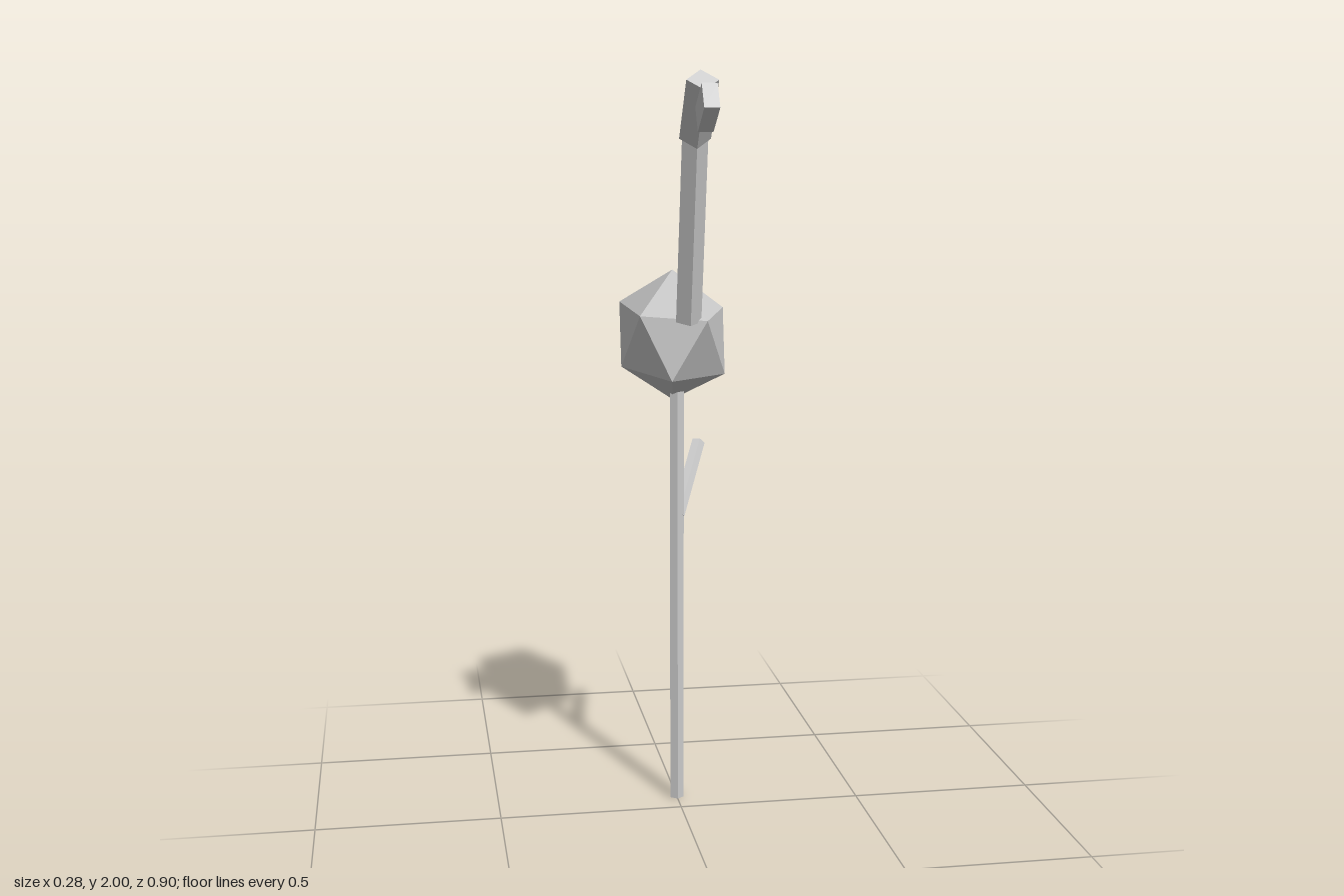
import * as THREE from 'three';
import { ConvexGeometry } from 'three/addons/geometries/ConvexGeometry.js';

export function createModel() {
  const group = new THREE.Group();
  const paleGrey = new THREE.MeshStandardMaterial({ color: 0xcccccc });
  paleGrey.flatShading = true;

  function add(name, geometry) {
    const mesh = new THREE.Mesh(geometry, paleGrey);
    mesh.name = name;
    group.add(mesh);
    return mesh;
  }

  // Straight faceted rod between two points
  function rod(name, from, to, radius, sides) {
    const a = new THREE.Vector3(...from);
    const b = new THREE.Vector3(...to);
    const mesh = add(name, new THREE.CylinderGeometry(radius, radius, a.distanceTo(b), sides));
    mesh.position.copy(a).add(b).multiplyScalar(0.5);
    mesh.quaternion.setFromUnitVectors(new THREE.Vector3(0, 1, 0), b.sub(a).normalize());
    return mesh;
  }

  // Body: stretched twenty-sided solid, two rings of five between top and bottom points
  const upperRing = [[0.14, -0.155], [0.045, 0.147], [-0.112, 0.017], [-0.121, -0.339], [0.042, -0.43]];
  const lowerRing = [[-0.14, -0.155], [-0.045, 0.133], [0.114, 0.017], [0.122, -0.34], [-0.045, -0.45]];
  const points = [new THREE.Vector3(0, 1.48, -0.152), new THREE.Vector3(0, 1.125, -0.152)];
  upperRing.forEach(([x, z]) => points.push(new THREE.Vector3(x, 1.375, z)));
  lowerRing.forEach(([x, z]) => points.push(new THREE.Vector3(x, 1.218, z)));
  add('body', new ConvexGeometry(points));

  // Legs: one standing, one lifted to the side and back
  rod('standingLeg', [0, 0, -0.08], [0, 1.2, -0.08], 0.02, 5);
  rod('raisedLeg', [0.003, 0.815, -0.08], [0.088, 0.985, -0.247], 0.019, 5);

  // Neck and head: four-sided prisms leaning forward
  rod('neck', [0, 1.37, 0.12], [0, 1.842, 0.216], 0.033, 4);
  rod('head', [0, 1.836, 0.213], [0, 1.977, 0.322], 0.04, 4);

  // Beak: small tilted block in front of the head
  const beak = add('beak', new THREE.BoxGeometry(0.038, 0.068, 0.105));
  beak.position.set(0, 1.912, 0.39);
  beak.rotation.x = -0.57;

  return group;
}
